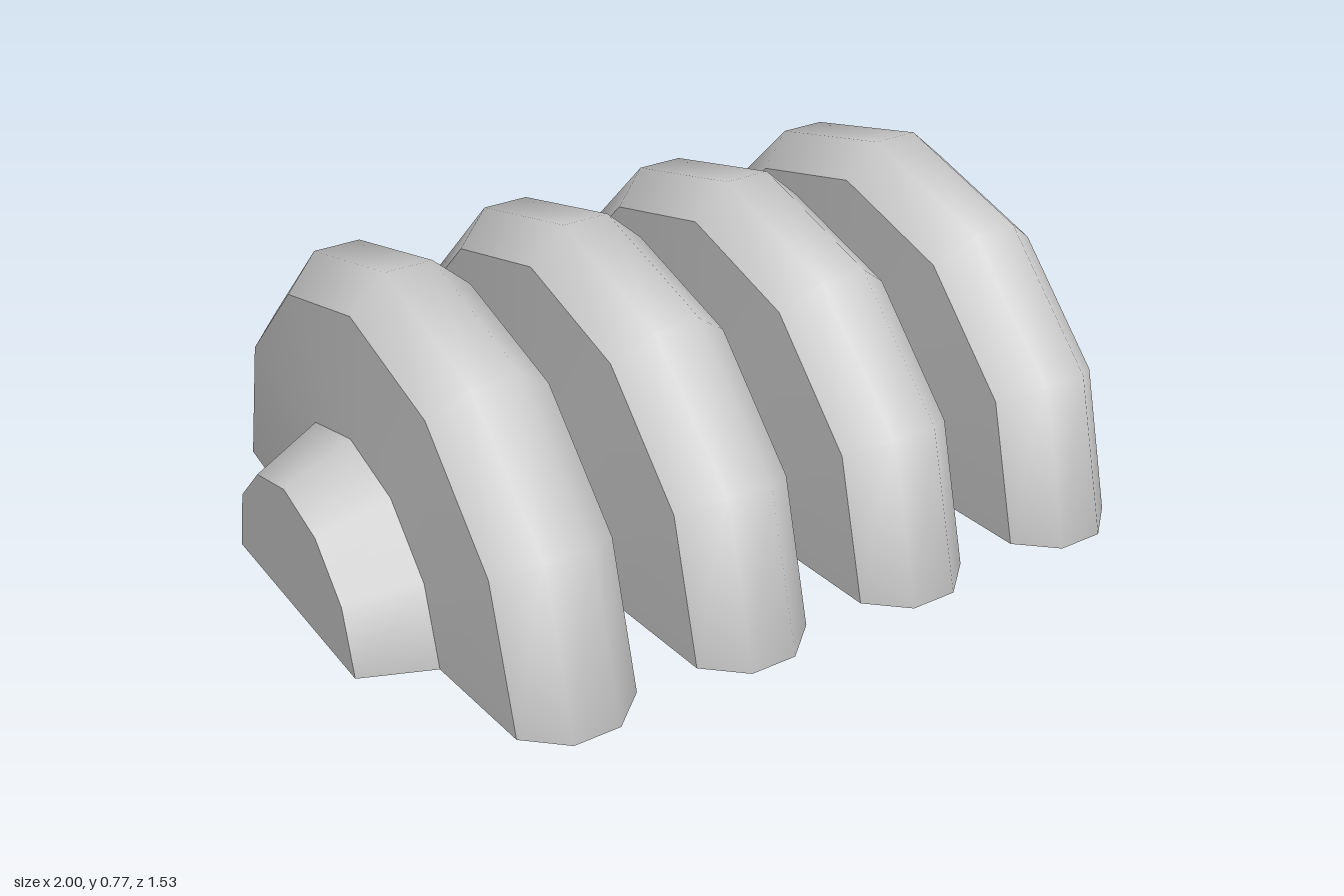
import * as THREE from 'three';

const AXIS_Y = 0.005;
const NECK = 0.385, SHOULDER = 0.683, RIM = 0.764, END = 0.31;
const RIBS = [-0.667, -0.222, 0.222, 0.667];
const BASE_HALF = 0.168, SHOULDER_HALF = 0.146, FLAT_HALF = 0.057;

export function createModel() {
  const model = new THREE.Group();
  model.name = 'ribbedHalfShell';
  const grey = new THREE.MeshStandardMaterial({ color: 0xcccccc, side: THREE.DoubleSide });
  grey.name = 'plainGrey';

  // Half revolution about the x axis; points are [x, radius] with x increasing
  function band(name, points, parent = model) {
    const profile = points.map(([x, r]) => new THREE.Vector2(r, x));
    const geo = new THREE.LatheGeometry(profile, 6, Math.PI, Math.PI);
    geo.rotateZ(-Math.PI / 2);
    geo.translate(0, AXIS_Y, 0);
    // The outer ends reach down to the ground
    const p = geo.attributes.position;
    for (let i = 0; i < p.count; i++) {
      if (Math.abs(p.getX(i)) > 0.99 && p.getY(i) < 0.01) p.setY(i, 0);
    }
    const mesh = new THREE.Mesh(geo, grey);
    mesh.name = name;
    parent.add(mesh);
  }

  // Ribs: hollow, with two steep walls and a bevelled rim
  RIBS.forEach((c, i) => {
    const rib = new THREE.Group();
    rib.name = `rib${i + 1}`;
    band('rightWall', [[c - BASE_HALF, NECK], [c - SHOULDER_HALF, SHOULDER]], rib);
    band('rim', [
      [c - SHOULDER_HALF, SHOULDER], [c - FLAT_HALF, RIM],
      [c + FLAT_HALF, RIM], [c + SHOULDER_HALF, SHOULDER],
    ], rib);
    band('leftWall', [[c + SHOULDER_HALF, SHOULDER], [c + BASE_HALF, NECK]], rib);
    model.add(rib);

    // Neck to the next rib
    if (i < RIBS.length - 1) {
      band(`neck${i + 1}`, [[c + BASE_HALF, NECK], [RIBS[i + 1] - BASE_HALF, NECK]]);
    }
  });

  // Tapered ends with flat caps
  const inner = RIBS[3] + BASE_HALF;
  band('rightEnd', [[-1, END], [-inner, NECK]]);
  band('rightCap', [[-1, 0], [-1, END]]);
  band('leftEnd', [[inner, NECK], [1, END]]);
  band('leftCap', [[1, END], [1, 0]]);

  return model;
}
